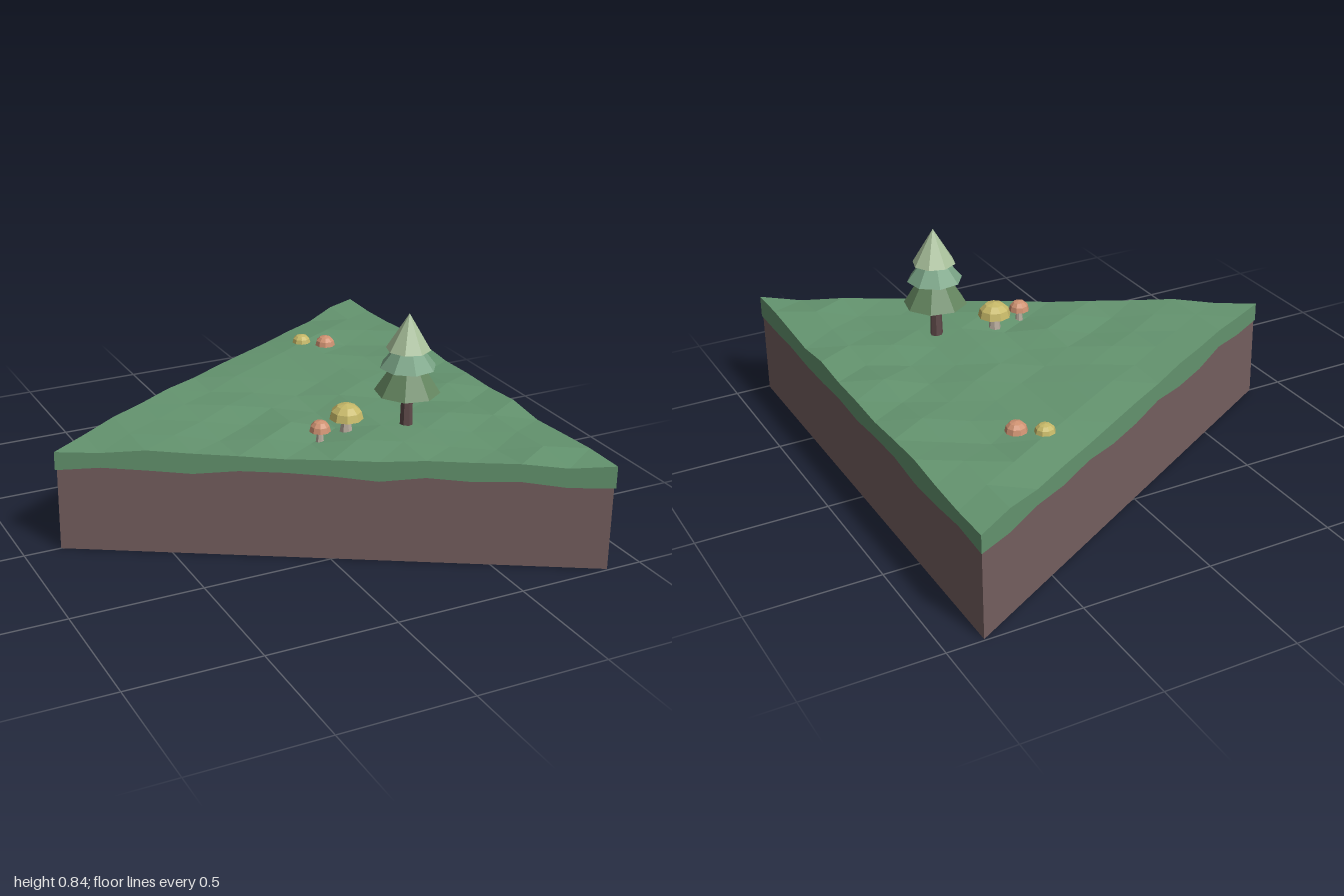
import * as THREE from 'three';

const H = Math.sqrt(3) / 2;          // half the depth of the triangular plot
const CX = H - 1 / Math.sqrt(3);     // centroid of the triangle
const N = 12;                        // terrain divisions per edge

const mat = (color) => new THREE.MeshStandardMaterial({ color, flatShading: true });

function add(parent, name, geometry, material, x = 0, y = 0, z = 0, turn = 0) {
  const mesh = new THREE.Mesh(geometry, material);
  mesh.name = name;
  mesh.position.set(x, y, z);
  mesh.rotation.y = turn;
  parent.add(mesh);
  return mesh;
}

// Repeatable value in -1..1 for a grid point
function noise(i, j) {
  const s = Math.sin(i * 127.1 + j * 311.7) * 43758.5453;
  return (s - Math.floor(s)) * 2 - 1;
}

// Bumpy triangular turf with a wavy skirt and an underside lip
function turfGeometry() {
  const pos = [];
  const tri = (...pts) => pts.forEach((p) => pos.push(p.x, p.y, p.z));
  const top = (i, j) => new THREE.Vector3(
    -H + (2 * H * i) / N, 0.402 + 0.012 * noise(i, j), (2 * j - i) / N);

  for (let i = 0; i < N; i++) {
    for (let j = 0; j <= i; j++) {
      tri(top(i, j), top(i + 1, j + 1), top(i + 1, j));
      if (j < i) tri(top(i, j), top(i, j + 1), top(i + 1, j + 1));
    }
  }

  // Perimeter: front edge, right edge, back edge
  const rim = [];
  for (let k = 0; k < N; k++) rim.push(top(k, k));
  for (let k = N; k > 0; k--) rim.push(top(N, k));
  for (let k = N; k > 0; k--) rim.push(top(k, 0));
  const low = rim.map((p, k) => new THREE.Vector3(p.x, 0.326 + 0.014 * noise(k, 7), p.z));
  const inner = low.map((p) => new THREE.Vector3(CX + (p.x - CX) * 0.985, p.y, p.z * 0.985));
  rim.forEach((p, k) => {
    const n = (k + 1) % rim.length;
    tri(low[k], low[n], rim[n]);
    tri(low[k], rim[n], p);
    tri(low[n], low[k], inner[k]);
    tri(low[n], inner[k], inner[n]);
  });

  const g = new THREE.BufferGeometry();
  g.setAttribute('position', new THREE.Float32BufferAttribute(pos, 3));
  g.computeVertexNormals();
  return g;
}

function createTree() {
  const tree = new THREE.Group();
  tree.name = 'tree';
  add(tree, 'trunk', new THREE.CylinderGeometry(0.021, 0.025, 0.18, 7), mat(0x5f4a4a), 0, 0.47, 0);
  // Tiers: bottom radius, top radius, bottom y, top y, colour
  [
    [0.122, 0.05, 0.537, 0.65, 0x64855f],
    [0.106, 0.04, 0.635, 0.72, 0x7aa486],
    [0.083, 0, 0.703, 0.84, 0xa8bf9a],
  ].forEach(([r0, r1, y0, y1, color], k) => {
    add(tree, 'foliageTier' + (k + 1), new THREE.CylinderGeometry(r1, r0, y1 - y0, 8),
      mat(color), 0, (y0 + y1) / 2, 0, 0.2 + k * 0.35);
  });
  return tree;
}

// Faceted domed cap on a tapered stem
function createMushroom(x, z, r, capY, capTop, color) {
  const mushroom = new THREE.Group();
  mushroom.name = 'mushroom';
  mushroom.position.set(x, 0, z);
  const h = capTop - capY;
  const profile = [[0, 0], [r, 0], [r * 0.88, h * 0.5], [r * 0.55, h * 0.85], [0, h]];
  const cap = new THREE.LatheGeometry(profile.map((p) => new THREE.Vector2(...p)), 9);
  add(mushroom, 'cap', cap, mat(color), 0, capY, 0, 0.3);
  const base = 0.39;
  add(mushroom, 'stem', new THREE.CylinderGeometry(r * 0.25, r * 0.4, capY - base + 0.004, 7),
    mat(0xb8ab9c), 0, (capY + base) / 2, 0);
  return mushroom;
}

export function createModel() {
  const model = new THREE.Group();
  model.name = 'forestPlot';

  // Soil prism
  add(model, 'soil', new THREE.CylinderGeometry(1.147, 1.147, 0.36, 3, 1, false, -Math.PI / 2),
    mat(0x755f5f), CX, 0.18, 0);
  add(model, 'grass', turfGeometry(), mat(0x64946f));

  const tree = createTree();
  tree.position.set(0.385, 0, 0.35);
  model.add(tree);

  const yellow = 0xc6b868, orange = 0xcf9272;
  [
    [0.16, 0.3, 0.064, 0.452, 0.508, yellow],
    [0.037, 0.33, 0.04, 0.435, 0.476, orange],
    [0.4, -0.555, 0.038, 0.42, 0.452, yellow],
    [0.48, -0.495, 0.041, 0.415, 0.454, orange],
  ].forEach((m) => model.add(createMushroom(...m)));

  return model;
}
